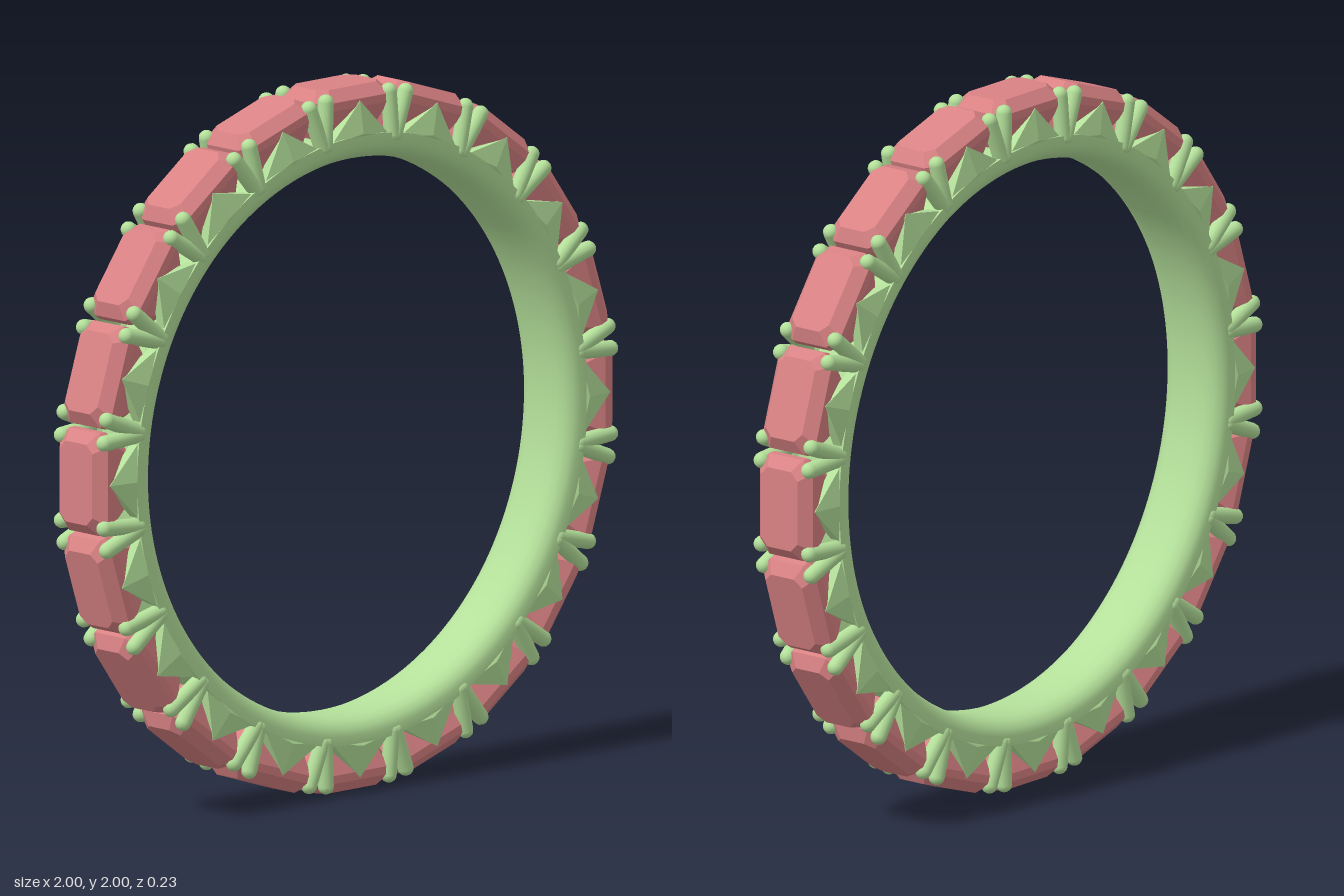
import * as THREE from 'three';
import { toCreasedNormals } from 'three/addons/utils/BufferGeometryUtils.js';
import { ConvexGeometry } from 'three/addons/geometries/ConvexGeometry.js';

const COUNT = 20;
const metal = new THREE.MeshStandardMaterial({ color: 0xb4e09a });
const stone = new THREE.MeshStandardMaterial({ color: 0xd98284, flatShading: true });

function part(name, geometry, material) {
  const mesh = new THREE.Mesh(geometry, material);
  mesh.name = name;
  return mesh;
}

// Closed band section, rounded on the inside of the ring
function bandGeometry() {
  const half = [[0.79, 0.03], [0.793, 0.06], [0.802, 0.083], [0.818, 0.1], [0.838, 0.107], [0.865, 0.107], [0.865, 0.07], [0.85, 0.06]];
  const points = [
    ...half.slice().reverse().map(([r, z]) => new THREE.Vector2(r, z)),
    ...half.map(([r, z]) => new THREE.Vector2(r, -z)),
  ];
  points.push(points[0].clone());
  const lathe = new THREE.LatheGeometry(points, 160);
  lathe.rotateX(Math.PI / 2);
  return toCreasedNormals(lathe, 0.7);
}

// Emerald cut: a stack of rectangles with clipped corners [height, half length, half width, clip]
function gemGeometry() {
  const levels = [
    [1.0, 0.115, 0.066, 0.024],
    [0.968, 0.146, 0.096, 0.035],
    [0.945, 0.146, 0.096, 0.035],
    [0.85, 0.09, 0.055, 0.02],
  ];
  const points = [];
  for (const [y, a, b, c] of levels)
    for (const sx of [-1, 1])
      for (const sz of [-1, 1])
        points.push(
          new THREE.Vector3(sx * (a - c), y, sz * b),
          new THREE.Vector3(sx * a, y, sz * (b - c)));
  return new ConvexGeometry(points);
}

// Pointed tooth with a raised centre ridge on its outer face
function toothGeometry() {
  const points = [];
  for (const x of [-0.112, 0.112])
    for (const z of [0.07, 0.1]) points.push(new THREE.Vector3(x, 0.85, z));
  points.push(
    new THREE.Vector3(0, 0.962, 0.075),
    new THREE.Vector3(0, 0.962, 0.098),
    new THREE.Vector3(0, 0.87, 0.112));
  return new ConvexGeometry(points);
}

// Round-ended prong running from the band to a gem corner
function prongGeometry() {
  const base = new THREE.Vector3(0.129, 0.848, 0.09);
  const tip = new THREE.Vector3(0.121, 0.972, 0.086);
  const dir = tip.clone().sub(base);
  const geo = new THREE.CapsuleGeometry(0.023, dir.length(), 5, 12);
  geo.applyQuaternion(new THREE.Quaternion().setFromUnitVectors(
    new THREE.Vector3(0, 1, 0), dir.clone().normalize()));
  const mid = base.add(tip).multiplyScalar(0.5);
  return geo.translate(mid.x, mid.y, mid.z);
}

export function createModel() {
  const ring = new THREE.Group();
  ring.name = 'ring';
  ring.position.y = 1;
  ring.add(part('band', bandGeometry(), metal));

  const gem = gemGeometry();
  const tooth = toothGeometry();
  const prong = prongGeometry();

  // One setting per gem, repeated round the band
  for (let i = 0; i < COUNT; i++) {
    const setting = new THREE.Group();
    setting.name = 'setting';
    setting.rotation.z = (i / COUNT) * Math.PI * 2;
    setting.add(part('gem', gem, stone));
    for (const side of [0, 1]) {
      const face = new THREE.Group();
      face.name = side ? 'backFace' : 'frontFace';
      face.rotation.y = side * Math.PI;
      face.add(part('tooth', tooth, metal));
      for (const sx of [-1, 1]) {
        const p = part('prong', prong, metal);
        p.scale.x = sx;
        face.add(p);
      }
      setting.add(face);
    }
    ring.add(setting);
  }

  const model = new THREE.Group();
  model.name = 'gemRing';
  model.add(ring);
  return model;
}
